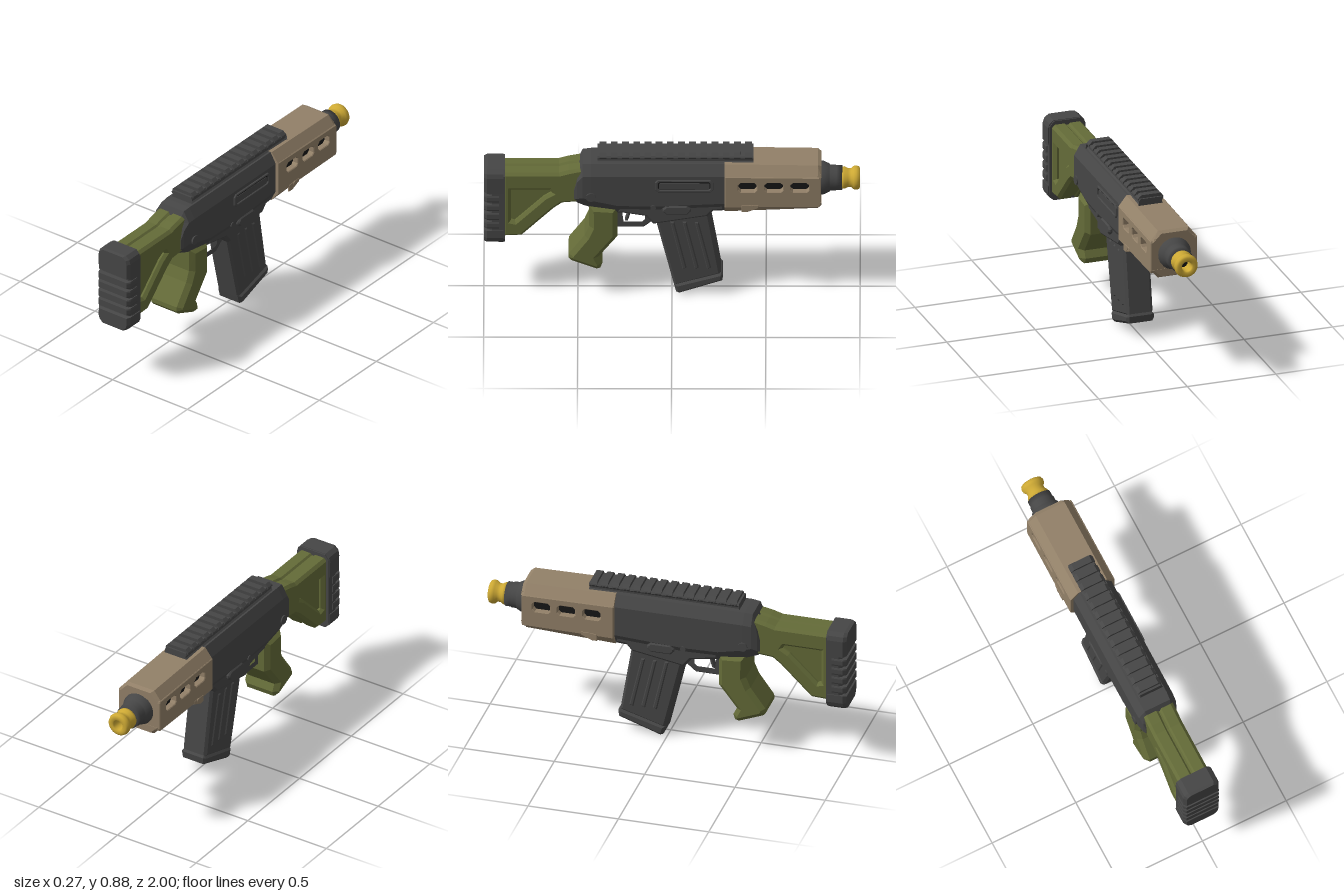
import * as THREE from 'three';

const mat = (name, color) => Object.assign(new THREE.MeshStandardMaterial({ color }), { name });

export function createModel() {
  const group = new THREE.Group();
  const dark = mat('dark grey', 0x464646);
  const tan = mat('tan', 0x928068);
  const green = mat('olive green', 0x646b38);
  const gold = mat('gold', 0xcda934);
  const black = mat('black', 0x161616);

  function add(name, geometry, material) {
    const mesh = new THREE.Mesh(geometry, material);
    mesh.name = name;
    group.add(mesh);
    return mesh;
  }

  // Side outline in (z, y), extruded to width w around x, with bevelled edges
  function side(name, pts, w, bevel, material, holes = [], x = 0) {
    const toV = (list) => list.map(([z, y]) => new THREE.Vector2(z, y));
    const shape = new THREE.Shape(toV(pts));
    holes.forEach((h) => shape.holes.push(new THREE.Path(toV(h))));
    const geo = new THREE.ExtrudeGeometry(shape, {
      depth: w - 2 * bevel, bevelEnabled: bevel > 0, bevelThickness: bevel,
      bevelSize: bevel, bevelOffset: -bevel, bevelSegments: 1,
    });
    geo.translate(0, 0, -(w - 2 * bevel) / 2).rotateY(-Math.PI / 2).translate(x, 0, 0);
    return add(name, geo, material);
  }

  // Rectangle outline with cut corners
  const rect = (z0, z1, y0, y1, c) => [
    [z0 + c, y0], [z1 - c, y0], [z1, y0 + c], [z1, y1 - c],
    [z1 - c, y1], [z0 + c, y1], [z0, y1 - c], [z0, y0 + c],
  ];

  // Skin through anticlockwise xy rings, ordered by rising z
  function loft(name, sections, material) {
    const pos = [];
    const n = sections[0].ring.length;
    const put = (s, j) => pos.push(...s.ring[j % n], s.z);
    for (let i = 0; i < sections.length - 1; i++) {
      const a = sections[i], b = sections[i + 1];
      for (let j = 0; j < n; j++) {
        put(a, j); put(a, j + 1); put(b, j + 1);
        put(a, j); put(b, j + 1); put(b, j);
      }
    }
    const first = sections[0], last = sections[sections.length - 1];
    for (let j = 1; j < n - 1; j++) {
      put(first, 0); put(first, j + 1); put(first, j);
      put(last, 0); put(last, j); put(last, j + 1);
    }
    const geo = new THREE.BufferGeometry();
    geo.setAttribute('position', new THREE.Float32BufferAttribute(pos, 3));
    geo.computeVertexNormals();
    return add(name, geo, material);
  }

  // Mirrors the right half of a ring (bottom to top) to the left
  const mirror = (half) => [...half, ...half.map(([x, y]) => [-x, y]).reverse()];

  // Lathe along the barrel; profile is [radius, distance forward]
  const barrelY = 0.694;
  function turned(name, profile, material) {
    const geo = new THREE.LatheGeometry(profile.map(([r, d]) => new THREE.Vector2(r, d)), 24);
    geo.rotateX(-Math.PI / 2).translate(0, barrelY, 0);
    return add(name, geo, material);
  }

  // Pin running through the body
  function pin(name, z, y, r, w, material) {
    const geo = new THREE.CylinderGeometry(r, r, w, 14);
    geo.rotateZ(Math.PI / 2).translate(0, y, z);
    return add(name, geo, material);
  }

  // Receiver
  const body = (z, w, bot, top, c) => ({
    z, ring: mirror([[w - 0.03, bot], [w, bot + c], [w, top - c], [w - 0.035, top]]),
  });
  loft('receiver', [
    body(-0.285, 0.113, 0.54, 0.83, 0.06), body(0.1, 0.113, 0.52, 0.83, 0.06),
    body(0.29, 0.113, 0.525, 0.83, 0.06), body(0.43, 0.113, 0.557, 0.83, 0.06),
    body(0.475, 0.11, 0.572, 0.825, 0.06), body(0.505, 0.1, 0.58, 0.765, 0.04),
    body(0.52, 0.09, 0.595, 0.69, 0.02),
  ], dark);
  side('magazineWell', [[0.29, 0.6], [0.29, 0.53], [0.14, 0.505], [0.1, 0.455], [-0.19, 0.505],
    [-0.22, 0.54], [-0.28, 0.545], [-0.28, 0.6]], 0.2, 0.015, dark);
  side('catchPlate', rect(-0.1, 0.05, 0.53, 0.585, 0.02), 0.238, 0.008, dark);
  pin('rearPin', 0.43, 0.64, 0.026, 0.24, dark);
  pin('frontPin', 0.1, 0.575, 0.015, 0.236, dark);

  // Ejection port on the left side
  side('portFrame', rect(-0.22, 0.09, 0.677, 0.752, 0.015), 0.012, 0.003, dark,
    [rect(-0.205, 0.075, 0.69, 0.74, 0.01)], 0.117);
  side('portShadow', rect(-0.205, 0.075, 0.69, 0.74, 0.01), 0.004, 0, black, [], 0.1125);
  side('bolt', rect(-0.2, 0.07, 0.69, 0.731, 0.006), 0.006, 0.001, dark, [], 0.1135);

  // Top rail with cross teeth
  const railBar = (name, z0, z1, half) =>
    loft(name, [z0, z1].map((z) => ({ z, ring: mirror(half) })), dark);
  railBar('railBase', -0.434, 0.396, [[0.075, 0.822], [0.06, 0.838], [0.06, 0.848], [0.068, 0.858], [0.062, 0.868]]);
  for (let i = 0; i < 14; i++) {
    const z = -0.425 + i * 0.0595;
    railBar('railTooth', z, z + 0.036, [[0.057, 0.846], [0.072, 0.863], [0.07, 0.869], [0.053, 0.886]]);
  }

  // Handguard: dark core, slotted side panels, sloped top and bottom
  add('handguardCore', new THREE.BoxGeometry(0.19, 0.2, 0.48).translate(0, 0.68, -0.53), black);
  const slots = [-0.45, -0.59, -0.728].map((z) => rect(z, z + 0.097, 0.685, 0.741, 0.013));
  for (const s of [-1, 1]) {
    side('handguardPanel', [[-0.28, 0.585], [-0.28, 0.78], [-0.785, 0.775], [-0.79, 0.765],
      [-0.79, 0.605], [-0.785, 0.59]], 0.038, 0.004, tan, slots, s * 0.113);
    side('handguardTab', [[-0.37, 0.56], [-0.37, 0.6], [-0.46, 0.605], [-0.46, 0.585], [-0.4, 0.56]],
      0.01, 0.002, tan, [], s * 0.129);
  }
  const roof = (z, w, y, t) => ({ z, ring: [[w, y], [w - 0.045, t], [0.045 - w, t], [-w, y]] });
  const floor = (z, w, y, b) => ({ z, ring: [[-w, y], [0.045 - w, b], [w - 0.045, b], [w, y]] });
  loft('handguardTop', [roof(-0.795, 0.118, 0.768, 0.815), roof(-0.775, 0.131, 0.768, 0.826),
    roof(-0.28, 0.131, 0.775, 0.833)], tan);
  loft('handguardBottom', [floor(-0.795, 0.118, 0.61, 0.568), floor(-0.775, 0.131, 0.608, 0.557),
    floor(-0.28, 0.131, 0.592, 0.535)], tan);
  side('lowerPanel', [[-0.31, 0.528], [-0.31, 0.56], [-0.74, 0.57], [-0.74, 0.551]], 0.12, 0.005, tan);
  add('handguardFront', new THREE.BoxGeometry(0.22, 0.19, 0.02).translate(0, 0.69, -0.782), tan);
  pin('handguardPin', -0.42, 0.592, 0.013, 0.274, tan);

  // Barrel collar and muzzle
  turned('barrelCollar', [[0.09, 0.78], [0.09, 0.805], [0.076, 0.836], [0.07, 0.84], [0.07, 0.87],
    [0.066, 0.875], [0.066, 0.905], [0, 0.905]], dark);
  turned('muzzle', [[0.045, 0.9], [0.058, 0.903], [0.06, 0.918], [0.05, 0.935], [0.05, 0.952],
    [0.062, 0.965], [0.065, 0.98], [0.06, 0.995], [0.05, 1], [0.034, 1], [0.028, 0.993], [0.028, 0.925]], gold);
  turned('bore', [[0.03, 0.93], [0, 0.932]], black);

  // Stock with a sunken triangle on each side
  const stock = [[0.9, 0.77], [0.6, 0.77], [0.55, 0.785], [0.46, 0.803], [0.47, 0.59],
    [0.585, 0.58], [0.63, 0.545], [0.8, 0.375], [0.9, 0.37]];
  const recess = [[0.855, 0.662], [0.65, 0.662], [0.64, 0.645], [0.68, 0.62], [0.835, 0.465], [0.855, 0.47]];
  side('stockCore', stock.map(([z, y]) => [z, 0.58 + (y - 0.58) * 0.95]), 0.12, 0, green);
  for (const s of [-1, 1]) side('stockShell', stock, 0.088, 0.016, green, [recess], s * 0.043);

  // Butt pad: backing plate, end caps and ribs
  const slab = (name, z0, z1, half) => {
    const mid = half.reduce((t, p) => t + p[1], 0) / half.length;
    const small = half.map(([x, y]) => [x * 0.88, mid + (y - mid) * 0.92]);
    loft(name, [{ z: z0, ring: mirror(half) }, { z: z1 - 0.018, ring: mirror(half) },
      { z: z1, ring: mirror(small) }], dark);
  };
  slab('padBase', 0.888, 0.975, [[0.075, 0.335], [0.1, 0.365], [0.1, 0.76], [0.075, 0.79]]);
  slab('padTop', 0.895, 1, [[0.105, 0.655], [0.106, 0.75], [0.098, 0.775], [0.075, 0.793]]);
  slab('padBottom', 0.895, 1, [[0.075, 0.332], [0.098, 0.352], [0.106, 0.375], [0.105, 0.42]]);
  for (let i = 0; i < 4; i++) {
    const y = 0.435 + i * 0.055;
    slab('padRib', 0.92, 1, [[0.104, y], [0.107, y + 0.008], [0.107, y + 0.032], [0.104, y + 0.04]]);
  }

  // Pistol grip
  side('grip', [[0.44, 0.57], [0.29, 0.56], [0.29, 0.375], [0.325, 0.33], [0.39, 0.245], [0.37, 0.205],
    [0.38, 0.175], [0.4, 0.168], [0.535, 0.222], [0.55, 0.24], [0.548, 0.265], [0.465, 0.38],
    [0.44, 0.44]], 0.215, 0.025, green);

  // Trigger guard and trigger
  side('triggerGuard', [[0.31, 0.54], [0.3, 0.405], [0.15, 0.405], [0.09, 0.455], [0.09, 0.54]],
    0.09, 0.008, dark, [[[0.275, 0.525], [0.265, 0.435], [0.155, 0.435], [0.135, 0.455], [0.135, 0.525]]]);
  side('trigger', [[0.255, 0.53], [0.215, 0.53], [0.22, 0.48], [0.235, 0.43], [0.25, 0.43], [0.235, 0.48]],
    0.04, 0.004, dark);

  // Magazine with raised ribs and a base plate
  side('magazine', [[0.09, 0.48], [-0.195, 0.53], [-0.262, 0.125], [-0.012, 0.05]], 0.148, 0.014, dark);
  side('magazineBase', [[-0.01, 0.06], [-0.262, 0.133], [-0.272, 0.122], [-0.268, 0.083],
    [-0.04, 0.004], [-0.022, 0.012]], 0.156, 0.014, dark);
  for (const z of [0.01, -0.055, -0.12]) {
    side('magazineRib', [[z, 0.46], [z - 0.022, 0.46], [z - 0.088, 0.17], [z - 0.066, 0.16]], 0.16, 0.006, dark);
  }

  return group;
}
